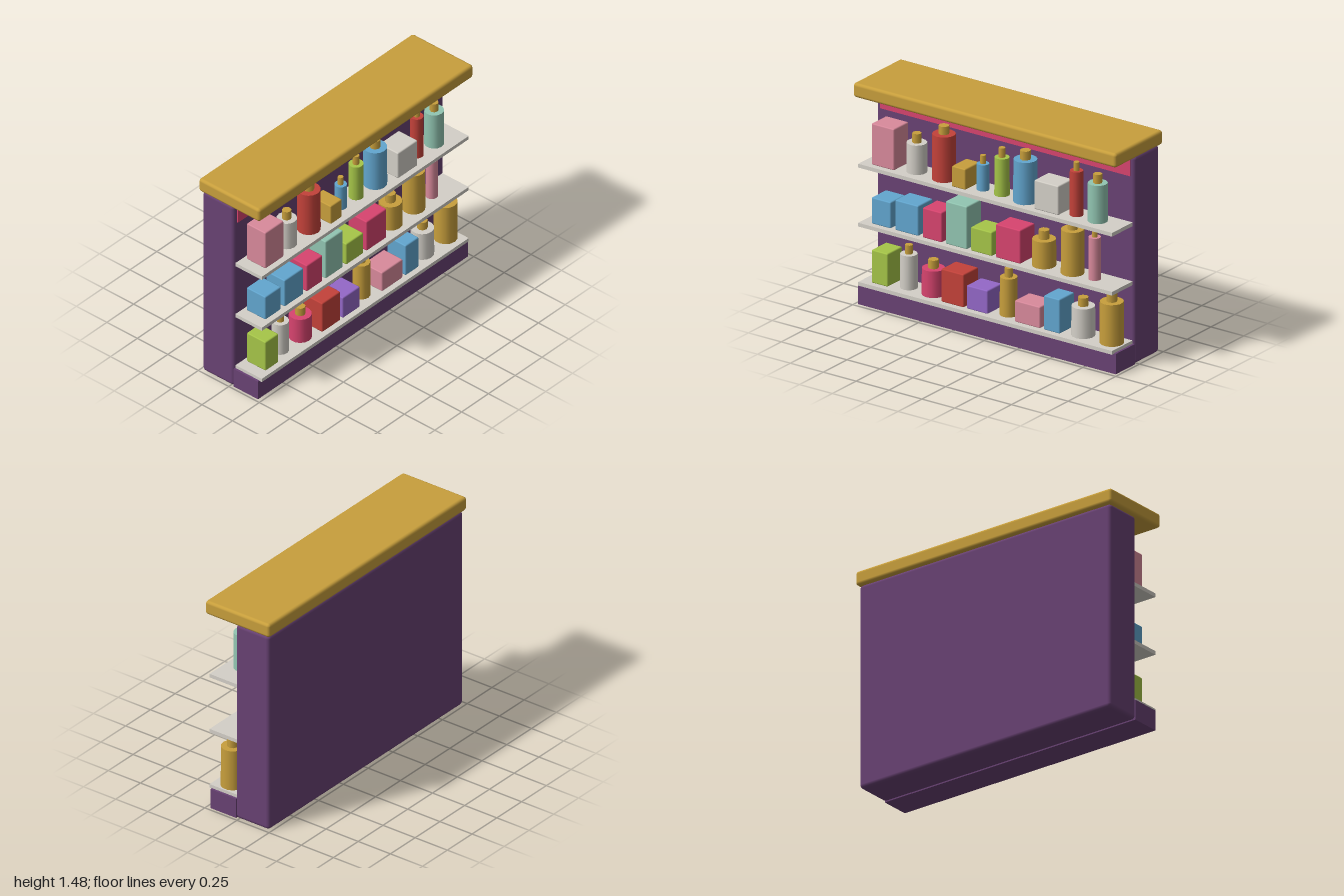
import * as THREE from 'three';
import { RoundedBoxGeometry } from 'three/addons/geometries/RoundedBoxGeometry.js';

const mat = (name, color) => {
  const m = new THREE.MeshStandardMaterial({ color });
  m.name = name;
  return m;
};

export function createModel() {
  const M = {
    gold: mat('gold', 0xc89f3c), purple: mat('purple', 0x694274), magenta: mat('magenta', 0xd8446f),
    pink: mat('pink', 0xd98a9c), white: mat('offWhite', 0xd4d0c8), red: mat('red', 0xc4423a),
    blue: mat('blue', 0x62a6cf), green: mat('green', 0xa6c648), mint: mat('mint', 0x92c6b2),
    violet: mat('violet', 0x9468c8),
  };
  const root = new THREE.Group();
  root.name = 'shopShelf';

  const add = (parent, name, geo, material, x, y, z) => {
    const m = new THREE.Mesh(geo, material);
    m.name = name;
    m.position.set(x, y, z);
    parent.add(m);
    return m;
  };

  // Cabinet: back panel, overhanging top, plinth and sign board
  add(root, 'backPanel', new RoundedBoxGeometry(1.965, 1.38, 0.26, 2, 0.025), M.purple, 0, 0.69, -0.105);
  add(root, 'topBoard', new RoundedBoxGeometry(2, 0.095, 0.5, 2, 0.02), M.gold, 0, 1.4275, 0);
  add(root, 'plinth', new THREE.BoxGeometry(1.96, 0.135, 0.2), M.purple, 0, 0.0675, 0.122);
  add(root, 'signBoard', new THREE.BoxGeometry(1.9, 0.118, 0.009), M.magenta, 0, 1.306, 0.0275);

  // Goods on each shelf: [colour, x, width, top, neck top if it is a bottle]
  const rows = [
    [0.157, [
      ['green', -0.829, 0.123, 0.377], ['white', -0.663, 0.112, 0.382, 0.441],
      ['magenta', -0.476, 0.147, 0.332, 0.388], ['red', -0.275, 0.171, 0.377],
      ['violet', -0.088, 0.16, 0.313], ['gold', 0.096, 0.112, 0.409, 0.468],
      ['pink', 0.294, 0.193, 0.3], ['blue', 0.479, 0.123, 0.385],
      ['white', 0.663, 0.15, 0.353, 0.409], ['gold', 0.88, 0.152, 0.433, 0.492],
    ]],
    [0.55, [
      ['blue', -0.818, 0.147, 0.725], ['blue', -0.623, 0.176, 0.751],
      ['magenta', -0.43, 0.147, 0.749], ['mint', -0.247, 0.163, 0.834],
      ['green', -0.056, 0.16, 0.709], ['magenta', 0.147, 0.187, 0.773],
      ['gold', 0.365, 0.152, 0.727, 0.786], ['gold', 0.582, 0.147, 0.842, 0.901],
      ['pink', 0.75, 0.08, 0.829, 0.888],
    ]],
    [0.942, [
      ['pink', -0.805, 0.171, 1.217], ['white', -0.602, 0.131, 1.136, 1.198],
      ['red', -0.396, 0.15, 1.243, 1.297], ['gold', -0.229, 0.104, 1.08],
      ['blue', -0.099, 0.08, 1.115, 1.17], ['green', 0.045, 0.096, 1.192, 1.254],
      ['blue', 0.223, 0.152, 1.222, 1.28], ['white', 0.438, 0.184, 1.136],
      ['red', 0.612, 0.086, 1.238, 1.294], ['mint', 0.773, 0.126, 1.195, 1.254],
    ]],
  ];
  const Z = 0.125;

  for (const [base, goods] of rows) {
    add(root, 'shelf', new THREE.BoxGeometry(1.93, 0.025, 0.216), M.white, 0, base - 0.0125, 0.132);
    for (const [colour, x, w, top, neckTop] of goods) {
      const h = top - base;
      if (!neckTop) {
        // Carton with softened edges
        add(root, 'carton', new RoundedBoxGeometry(w, h, 0.155, 1, 0.008), M[colour], x, base + h / 2, Z + 0.002);
        continue;
      }
      // Bottle: round body and faceted gold neck
      const bottle = new THREE.Group();
      bottle.name = 'bottle';
      bottle.position.set(x, base, Z);
      root.add(bottle);
      const r = w / 2, nh = neckTop - top;
      add(bottle, 'bottleBody', new THREE.CylinderGeometry(r * 0.98, r, h, 14), M[colour], 0, h / 2, 0);
      add(bottle, 'bottleNeck', new THREE.CylinderGeometry(r * 0.45, r * 0.45, nh, 8), M.gold, 0, h + nh / 2, 0);
    }
  }
  return root;
}
